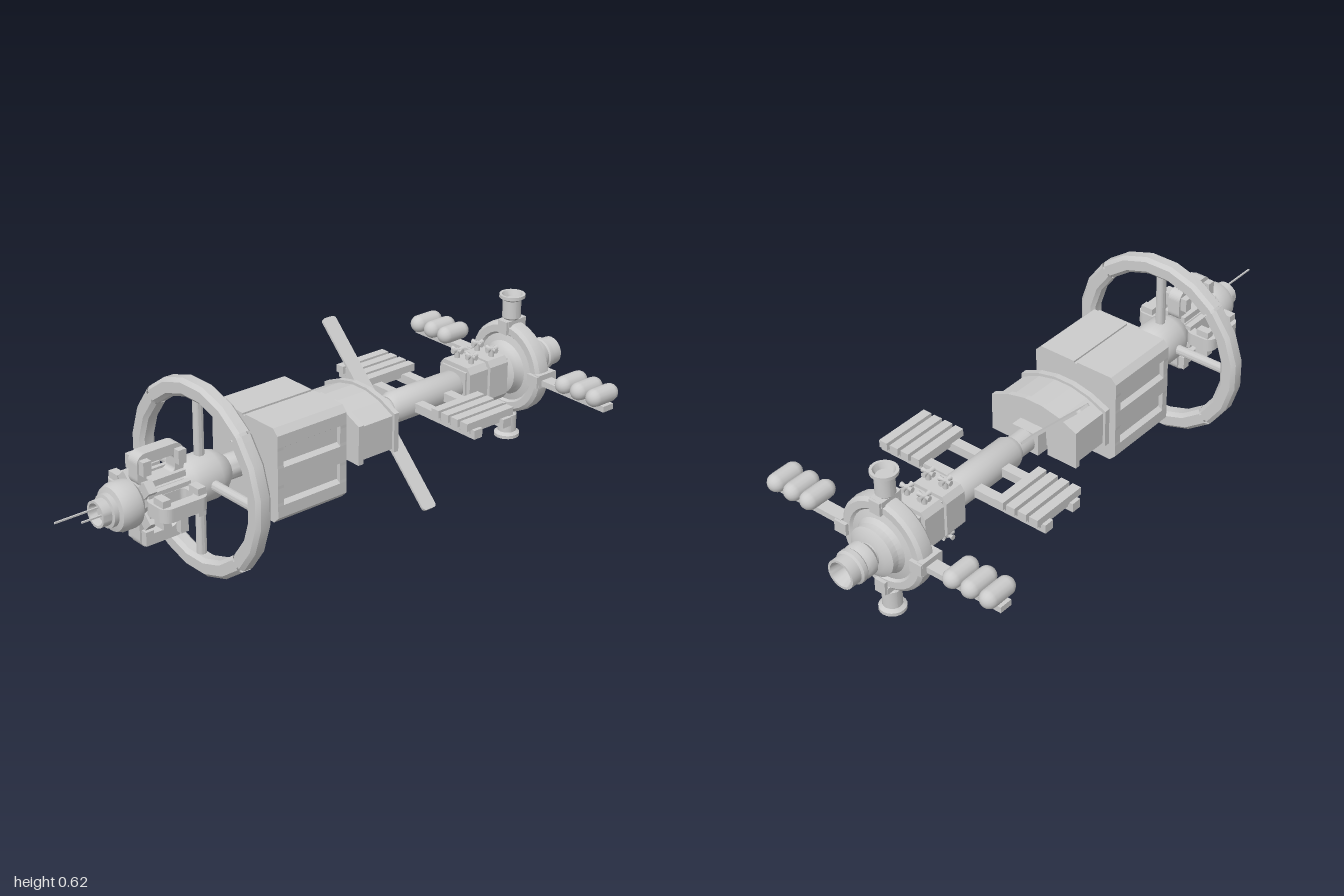
import * as THREE from 'three';
import { toCreasedNormals } from 'three/addons/utils/BufferGeometryUtils.js';

const mat = new THREE.MeshStandardMaterial({ color: 0xcccccc, side: THREE.DoubleSide });

export function createModel() {
  const root = new THREE.Group();
  root.position.y = 0.31; // long axis of the station

  const add = (name, geo, parent = root, x = 0, y = 0, z = 0) => {
    const m = new THREE.Mesh(geo, mat);
    m.name = name;
    m.position.set(x, y, z);
    parent.add(m);
    return m;
  };
  const group = (name, turn = 0) => {
    const g = new THREE.Group();
    g.name = name;
    g.rotation.z = turn;
    root.add(g);
    return g;
  };
  const box = (name, w, h, d, x, y, z, parent) => add(name, new THREE.BoxGeometry(w, h, d), parent, x, y, z);
  // Profile of [radius, position] turned about the z axis
  const turned = (pts, sides = 24, start = 0, arc = Math.PI * 2) =>
    toCreasedNormals(new THREE.LatheGeometry(pts.map(p => new THREE.Vector2(...p)), sides, start, arc), 0.6)
      .rotateX(Math.PI / 2);
  // Same, with the axis pointing out along +x
  const turnedX = (pts, sides) => turned(pts, sides).rotateY(Math.PI / 2);
  const shapeOf = pts => new THREE.Shape(pts.map(p => new THREE.Vector2(...p)));
  const extrude = (shape, z0, z1) =>
    new THREE.ExtrudeGeometry(shape, { depth: z1 - z0, bevelEnabled: false, curveSegments: 5 }).translate(0, 0, z0);
  const roundRect = (target, x0, y0, x1, y1, r) => {
    target.absarc(x1 - r, y1 - r, r, 0, Math.PI / 2);
    target.absarc(x0 + r, y1 - r, r, Math.PI / 2, Math.PI);
    target.absarc(x0 + r, y0 + r, r, Math.PI, Math.PI * 1.5);
    target.absarc(x1 - r, y0 + r, r, Math.PI * 1.5, Math.PI * 2);
    target.closePath();
    return target;
  };

  // Nose with stepped docking collar
  add('nose', turned([[0, 0.72], [0.05, 0.72], [0.072, 0.74], [0.075, 0.755], [0.075, 0.79], [0.068, 0.808],
    [0.052, 0.812], [0.052, 0.828], [0.042, 0.83], [0.042, 0.86], [0.034, 0.86], [0.03, 0.835], [0, 0.835]], 28));
  box('longAntenna', 0.005, 0.005, 0.17, 0.004, 0.022, 0.915);
  box('shortAntenna', 0.005, 0.005, 0.08, -0.004, -0.012, 0.865);

  // Core behind the nose, ring hub and neck
  add('noseCore', turned([[0, 0.55], [0.052, 0.55], [0.052, 0.7], [0.06, 0.73], [0, 0.73]], 8));
  add('ringHub', turned([[0, 0.40], [0.045, 0.40], [0.07, 0.43], [0.077, 0.455], [0.077, 0.525], [0.07, 0.545],
    [0.05, 0.575], [0, 0.575]], 24));
  add('neck', turned([[0, 0.3], [0.032, 0.3], [0.032, 0.33], [0.04, 0.335], [0.04, 0.395], [0.032, 0.41], [0, 0.41]], 24));

  // Four clamp frames around the core, with diagonal ribs between
  const frame = roundRect(new THREE.Shape(), 0.045, 0.56, 0.15, 0.725, 0.03);
  frame.holes.push(roundRect(new THREE.Path(), 0.06, 0.592, 0.115, 0.694, 0.014));
  for (let i = 0; i < 4; i++) {
    const g = group('clampFrame', i * Math.PI / 2);
    add('frame', extrude(frame, -0.022, 0.022).rotateX(Math.PI / 2), g);
    for (const s of [-1, 1]) {
      box('frameLug', 0.045, 0.022, 0.028, 0.112, s * 0.034, 0.58, g);
      box('frameLug', 0.045, 0.022, 0.028, 0.112, s * 0.034, 0.705, g);
      box('frameFoot', 0.02, 0.014, 0.15, 0.055, s * 0.033, 0.642, g);
    }
    const rib = group('diagonalRib', (i + 0.5) * Math.PI / 2);
    box('rib', 0.06, 0.04, 0.03, 0.06, 0, 0.71, rib);
  }

  // Habitat ring: four chamfered arcs over a thinner joint ring, with four spokes
  const ringProfile = (a, b, c) => [[a, -b + c], [a, b - c], [a - c, b], [0.568 - a + c, b], [0.568 - a, b - c],
    [0.568 - a, -b + c], [0.568 - a + c, -b], [a - c, -b], [a, -b + c]].map(([r, z]) => [r, z + 0.488]);
  add('ringJoint', turned(ringProfile(0.304, 0.023, 0.01), 20, Math.PI / 20));
  for (let i = 0; i < 4; i++) {
    add('ringArc', turned(ringProfile(0.313, 0.028, 0.012), 5,
      (i + 0.5) * Math.PI / 2 + 0.015, Math.PI / 2 - 0.03));
    add('spoke', turnedX([[0.016, 0.05], [0.016, 0.265]], 12), group('ringSpoke', i * Math.PI / 2), 0, 0, 0.488);
  }

  // Main module: chamfered block with side slots and a seam on top
  const blockShape = (cut, seam) => {
    const w = 0.157, h = 0.155, half = [[0, -h], [w - 0.02, -h], [w, -h + 0.02]];
    for (const y of [-0.062, 0.062])
      half.push([w, y - 0.034], [w - cut, y - 0.024], [w - cut, y + 0.024], [w, y + 0.034]);
    half.push([w, h - 0.02], [w - 0.02, h], [0.006, h], [0.006, h - seam]);
    return shapeOf([...half, ...half.slice(1).reverse().map(([x, y]) => [-x, y])]);
  };
  add('mainModuleMiddle', extrude(blockShape(0.016, 0.006), 0.075, 0.295));
  add('mainModuleFront', extrude(blockShape(0.0005, 0.006), 0.295, 0.318));
  add('mainModuleBack', extrude(blockShape(0.0005, 0.006), 0.05, 0.075));

  // Central beam
  box('centralBeam', 0.1, 0.075, 0.27, 0, 0, -0.06);

  // Second module: arched roof, open channel underneath, raised end rims
  const archShape = inset => {
    const w = 0.165 - inset, top = -inset, low = -0.055 + inset;
    const s = new THREE.Shape();
    s.moveTo(0.055, low);
    s.lineTo(w, low);
    s.lineTo(w, 0.075 + top);
    s.quadraticCurveTo(0, 0.165 + top, -w, 0.075 + top);
    s.lineTo(-w, low);
    s.lineTo(-0.055, low);
    s.lineTo(-0.055, -0.02);
    s.lineTo(0.055, -0.02);
    return s;
  };
  add('archedModule', extrude(archShape(0.009), -0.145, -0.005));
  add('archedRimFront', extrude(archShape(0), -0.012, 0.008));
  add('archedRimBack', extrude(archShape(0), -0.155, -0.137));

  // Diagonal blades on a small joint
  add('bladeJoint', turned([[0, -0.265], [0.038, -0.265], [0.038, -0.19], [0, -0.19]], 16));
  const blade = roundRect(new THREE.Shape(), 0.03, -0.246, 0.348, -0.192, 0.012);
  for (const k of [-1, 3])
    add('blade', extrude(blade, -0.004, 0.004).rotateX(Math.PI / 2), group('diagonalBlade', k * Math.PI / 4));

  // Boom
  add('boom', turned([[0, -0.56], [0.04, -0.56], [0.052, -0.535], [0.052, -0.275], [0.042, -0.255], [0, -0.255]], 24));

  // Slatted racks on both sides of the boom
  for (const s of [-1, 1]) {
    const g = group('sideRack');
    for (const z of [-0.347, -0.472]) box('rackRail', 0.28, 0.03, 0.034, s * 0.18, 0, z, g);
    for (let i = 0; i < 4; i++) {
      box('slat', 0.031, 0.026, 0.2, s * (0.163 + i * 0.043), 0.026, -0.41, g);
      box('slatFoot', 0.022, 0.016, 0.17, s * (0.163 + i * 0.043), 0.008, -0.41, g);
    }
  }

  // Equipment block in two bays, with nozzle clusters above and below
  const bay = shapeOf([[-0.07, -0.055], [-0.055, -0.075], [0.055, -0.075], [0.07, -0.055],
    [0.07, 0.055], [0.055, 0.075], [-0.055, 0.075], [-0.07, 0.055]]);
  box('bayCore', 0.11, 0.12, 0.19, 0, 0, -0.64);
  for (const z of [-0.592, -0.683]) {
    add('equipmentBay', extrude(bay, z - 0.04, z + 0.04));
    for (const s of [-1, 1]) for (const x of [-0.033, 0.033]) {
      add('nozzlePost', new THREE.CylinderGeometry(0.009, 0.009, 0.04, 8), root, x, s * 0.085, z);
      for (let k = 0; k < 4; k++) {
        const a = k * Math.PI / 2;
        const n = add('smallNozzle', new THREE.CylinderGeometry(0.009, 0.004, 0.02, 8).rotateZ(-Math.PI / 2),
          root, x + Math.cos(a) * 0.012, s * 0.1, z - Math.sin(a) * 0.012);
        n.rotation.y = a;
      }
    }
  }

  // Rear wheel with raised rim and rounded hub
  add('rearWheel', turned([[0, -0.885], [0.06, -0.885], [0.082, -0.872], [0.082, -0.85], [0.092, -0.835], [0.115, -0.828],
    [0.122, -0.836], [0.145, -0.836], [0.156, -0.826], [0.158, -0.806], [0.156, -0.786], [0.145, -0.776], [0.122, -0.776],
    [0.115, -0.784], [0.092, -0.778], [0.082, -0.762], [0.082, -0.742], [0.06, -0.73], [0, -0.73]], 32));
  // Rear engine with hollow end
  add('rearEngine', turned([[0, -0.95], [0.024, -0.95], [0.04, -1], [0.048, -1], [0.048, -0.965], [0.055, -0.96],
    [0.055, -0.945], [0.051, -0.94], [0.055, -0.93], [0.055, -0.905], [0.04, -0.89], [0.04, -0.87]], 24));

  // Four rim clamps: thrusters above and below, tank arms left and right
  for (let i = 0; i < 4; i++) {
    const g = group(i % 2 ? 'thruster' : 'tankArm', i * Math.PI / 2);
    box('rimClamp', 0.02, 0.045, 0.075, 0.158, 0, -0.806, g);
    for (const s of [-1, 1]) box('clampJaw', 0.045, 0.04, 0.012, 0.145, 0, -0.806 + s * 0.039, g);
    if (i % 2) {
      add('thrusterBody', turnedX([[0.015, 0.14], [0.016, 0.16], [0.031, 0.175], [0.031, 0.235], [0.043, 0.243],
        [0.043, 0.254], [0.034, 0.254], [0.026, 0.235], [0, 0.235]], 20), g, 0, 0, -0.803);
    } else {
      const up = i === 0 ? 1 : -1;
      box('tankShelf', 0.275, 0.02, 0.045, 0.302, up * -0.006, -0.806, g);
      for (const x of [0.276, 0.342, 0.409])
        add('tank', new THREE.CapsuleGeometry(0.03, 0.066, 6, 14).rotateX(Math.PI / 2), g, x, up * 0.029, -0.806);
    }
  }

  const model = new THREE.Group();
  model.name = 'spaceStation';
  model.add(root);
  return model;
}
